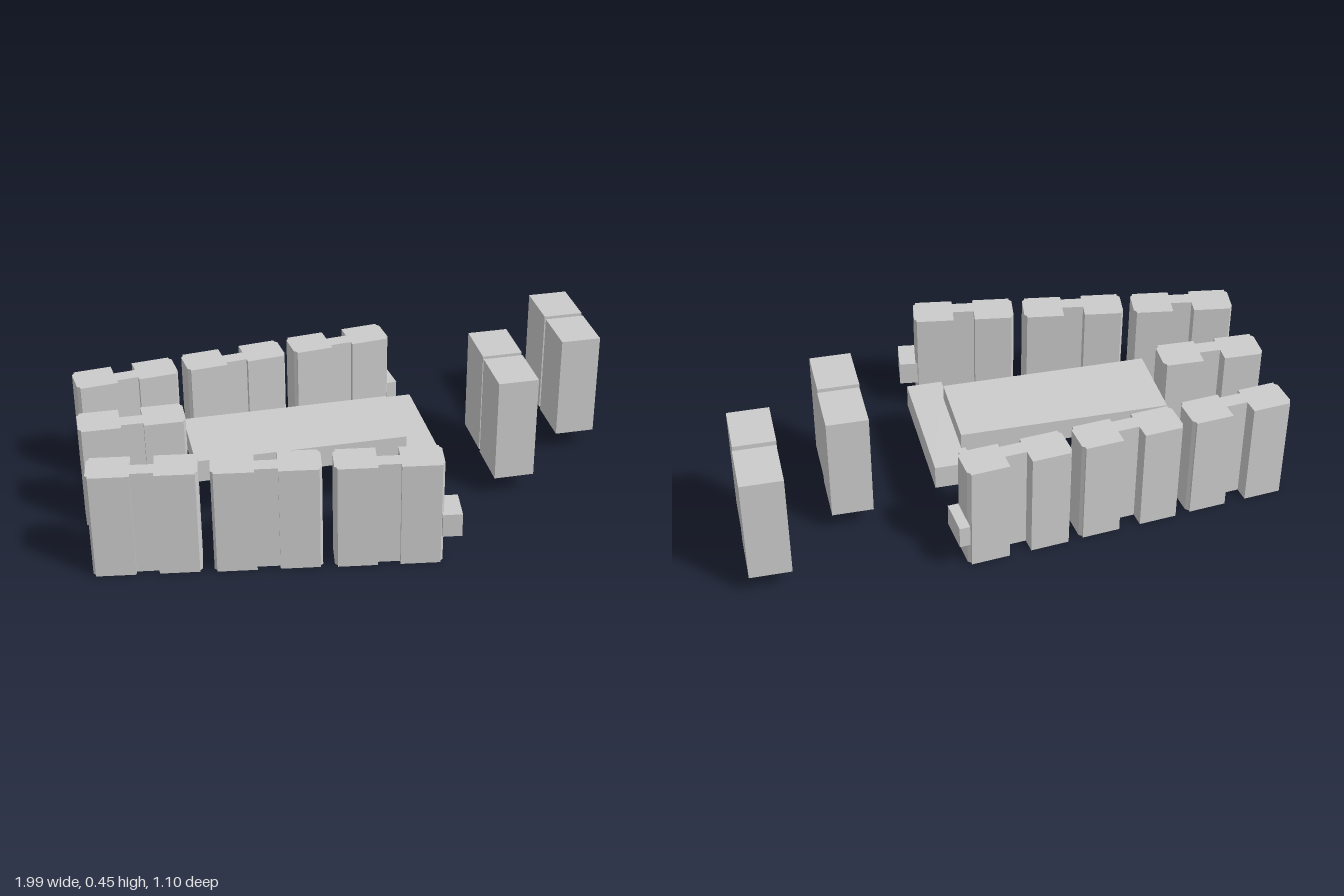
import * as THREE from 'three';

const material = new THREE.MeshStandardMaterial({ color: 0xcccccc, flatShading: true });
const WALL_HEIGHT = 0.38;

// Footprint of one seat unit: two pads joined by a narrow waist
function seatGeometry() {
  const L = 0.18, W = 0.063, c = 0.009, n = 0.038;
  const points = [
    [-L + c, -W], [-n, -W], [-n, -W + 0.053], [n, -W + 0.053], [n, -W], [L - c, -W],
    [L - c, -W + c], [L, -W + 2 * c], [L, W - 2 * c], [L - c, W - c],
    [L - c, W], [n, W], [n, W - 0.018], [-n, W - 0.018], [-n, W], [-L + c, W],
    [-L + c, W - c], [-L, W - 2 * c], [-L, -W + 2 * c], [-L + c, -W + c],
  ].map(([x, y]) => new THREE.Vector2(x, y));
  const geometry = new THREE.ExtrudeGeometry(new THREE.Shape(points), {
    depth: WALL_HEIGHT, bevelEnabled: false,
  });
  return geometry.rotateX(Math.PI / 2).translate(0, WALL_HEIGHT, 0);
}

// Places a mesh turned clockwise (seen from above) by the given degrees
function place(group, name, geometry, x, y, z, degrees) {
  const mesh = new THREE.Mesh(geometry, material);
  mesh.name = name;
  mesh.position.set(x, y, z);
  mesh.rotation.y = -THREE.MathUtils.degToRad(degrees);
  group.add(mesh);
}

// Box given by its footprint and its bottom and top heights
function block(group, name, x, z, width, depth, bottom, top, degrees) {
  const geometry = new THREE.BoxGeometry(width, top - bottom, depth);
  place(group, name, geometry, x, (bottom + top) / 2, z, degrees);
}

export function createModel() {
  const model = new THREE.Group();
  model.name = 'seatingLayout';
  const seat = seatGeometry();

  // Rows of seat units
  const rows = [
    { name: 'frontRowSeat', x: -0.811, z: 0.144, dx: 0.376, dz: 0.132, count: 3, angle: 18.8 },
    { name: 'middleRowSeat', x: -0.752, z: -0.168, dx: 0, dz: 0, count: 1, angle: 11.5 },
    { name: 'backRowSeat', x: -0.68, z: -0.478, dx: 0.395, dz: 0.026, count: 3, angle: 4.2 },
  ];
  for (const r of rows) {
    for (let i = 0; i < r.count; i++) {
      place(model, r.name, seat, r.x + i * r.dx, 0, r.z + i * r.dz, r.angle);
    }
  }

  // Small blocks closing the row ends
  block(model, 'frontRowEndBlock', 0.134, 0.482, 0.066, 0.12, 0.105, 0.19, 18);
  block(model, 'backRowEndBlock', 0.311, -0.43, 0.036, 0.125, 0.105, 0.182, 4.5);

  // Raised slab with a cross bar at its end
  block(model, 'slab', -0.205, -0.062, 0.73, 0.29, 0.19, 0.27, 10.3);
  block(model, 'crossBar', 0.2, 0.019, 0.125, 0.478, 0.13, 0.215, 10);

  // Two pairs of tall blocks
  const tall = [[0.563, -0.053], [0.523, 0.147], [0.912, -0.24], [0.872, -0.038]];
  for (const [x, z] of tall) {
    block(model, 'tallBlock', x, z, 0.142, 0.185, 0.068, 0.447, 10.5);
  }
  return model;
}
